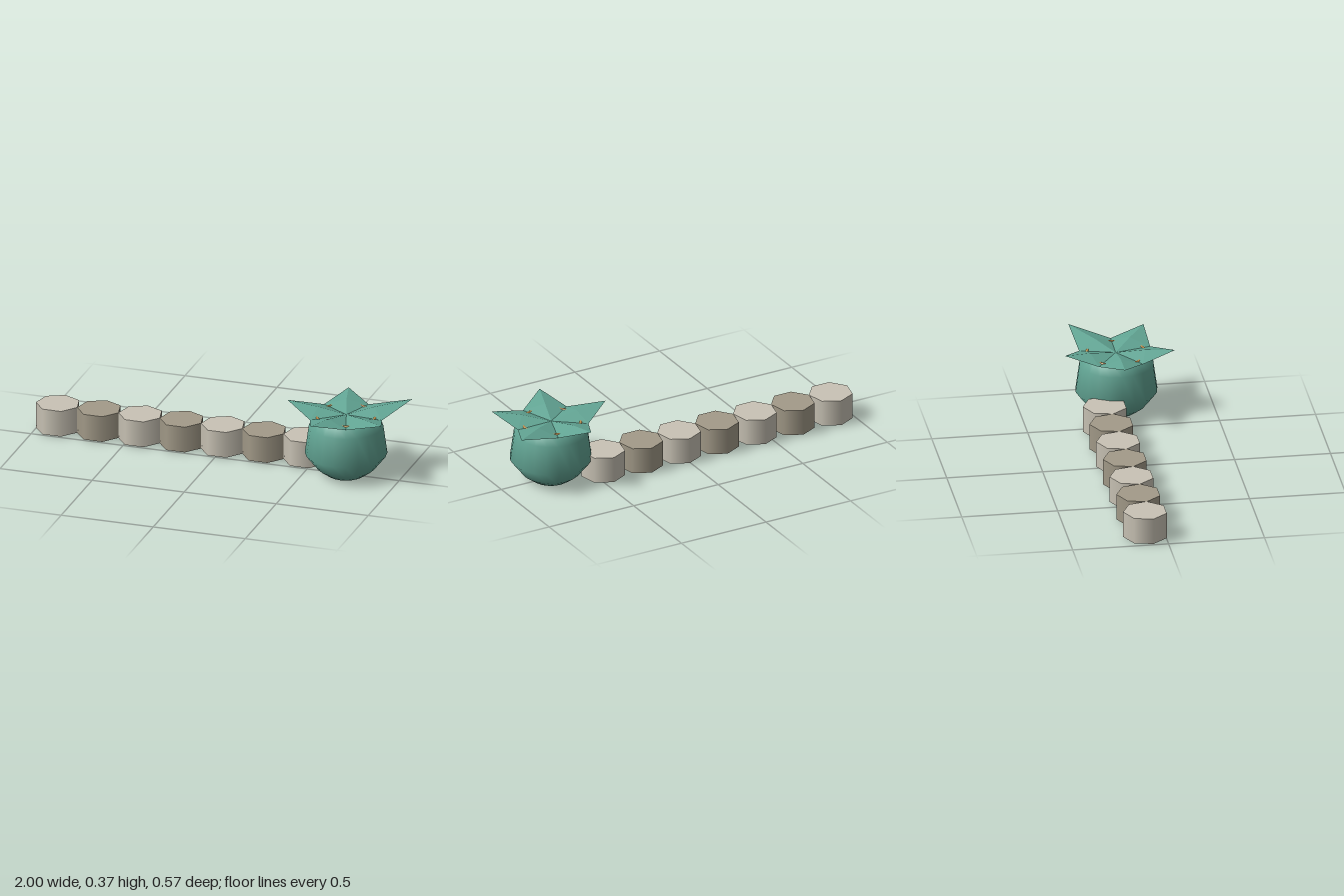
import * as THREE from 'three';

const mat = (name, color, side = THREE.FrontSide) => {
  const m = new THREE.MeshStandardMaterial({ color, side });
  m.name = name;
  return m;
};

export function createModel() {
  const model = new THREE.Group();
  const green = mat('potGreen', 0x62a594, THREE.DoubleSide);
  const gold = mat('ringGold', 0xc2914f);
  const lightStone = mat('lightStone', 0xc9c3b5);
  const darkStone = mat('darkStone', 0xa39b89);
  const add = (parent, name, geometry, material) => {
    const mesh = new THREE.Mesh(geometry, material);
    mesh.name = name;
    parent.add(mesh);
    return mesh;
  };

  // Row of seven-sided stepping stones in alternating shades
  const path = new THREE.Group();
  path.name = 'stonePath';
  model.add(path);
  const stone = new THREE.CylinderGeometry(0.1155, 0.1155, 0.14, 7);
  stone.rotateY(Math.PI);
  for (let i = 0; i < 7; i++) {
    add(path, 'steppingStone', stone, i % 2 ? darkStone : lightStone)
      .position.set(-0.8875 + i * 0.2243, 0.075, -0.104);
  }

  const planter = new THREE.Group();
  planter.name = 'planter';
  planter.position.set(0.71, 0, -0.005);
  model.add(planter);

  // Rounded bowl
  const profile = [[0, 0], [0.097, 0], [0.15, 0.038], [0.213, 0.118], [0.192, 0.268], [0.16, 0.318], [0.14, 0.318]];
  add(planter, 'bowl', new THREE.LatheGeometry(profile.map(([r, y]) => new THREE.Vector2(r, y)), 20), green);

  // Rim ring
  const ring = new THREE.TorusGeometry(0.154, 0.008, 8, 30);
  ring.rotateX(Math.PI / 2);
  add(planter, 'rimRing', ring, gold).position.y = 0.321;

  // Star of five folded petals: centre, low valleys, raised midrib and tip
  const tips = [[0.25, 0.363, 0.18], [-0.097, 0.362, 0.29], [-0.32, 0.366, -0.005], [-0.08, 0.36, -0.28], [0.29, 0.372, -0.205]];
  const centre = [0, 0.326, -0.004];
  const polar = (deg, r, y) => {
    const a = THREE.MathUtils.degToRad(deg);
    return [r * Math.cos(a), y, r * Math.sin(a)];
  };
  tips.forEach((tip, i) => {
    const angle = 36 + i * 72;
    const a = polar(angle - 36, 0.195, 0.321);
    const b = polar(angle + 36, 0.195, 0.321);
    const rib = polar(angle, 0.15, 0.352);
    const corners = [centre, rib, a, a, rib, tip, centre, b, rib, b, tip, rib];
    const petal = new THREE.BufferGeometry();
    petal.setAttribute('position', new THREE.Float32BufferAttribute(corners.flat(), 3));
    petal.computeVertexNormals();
    add(planter, 'petal', petal, green);
  });
  return model;
}
